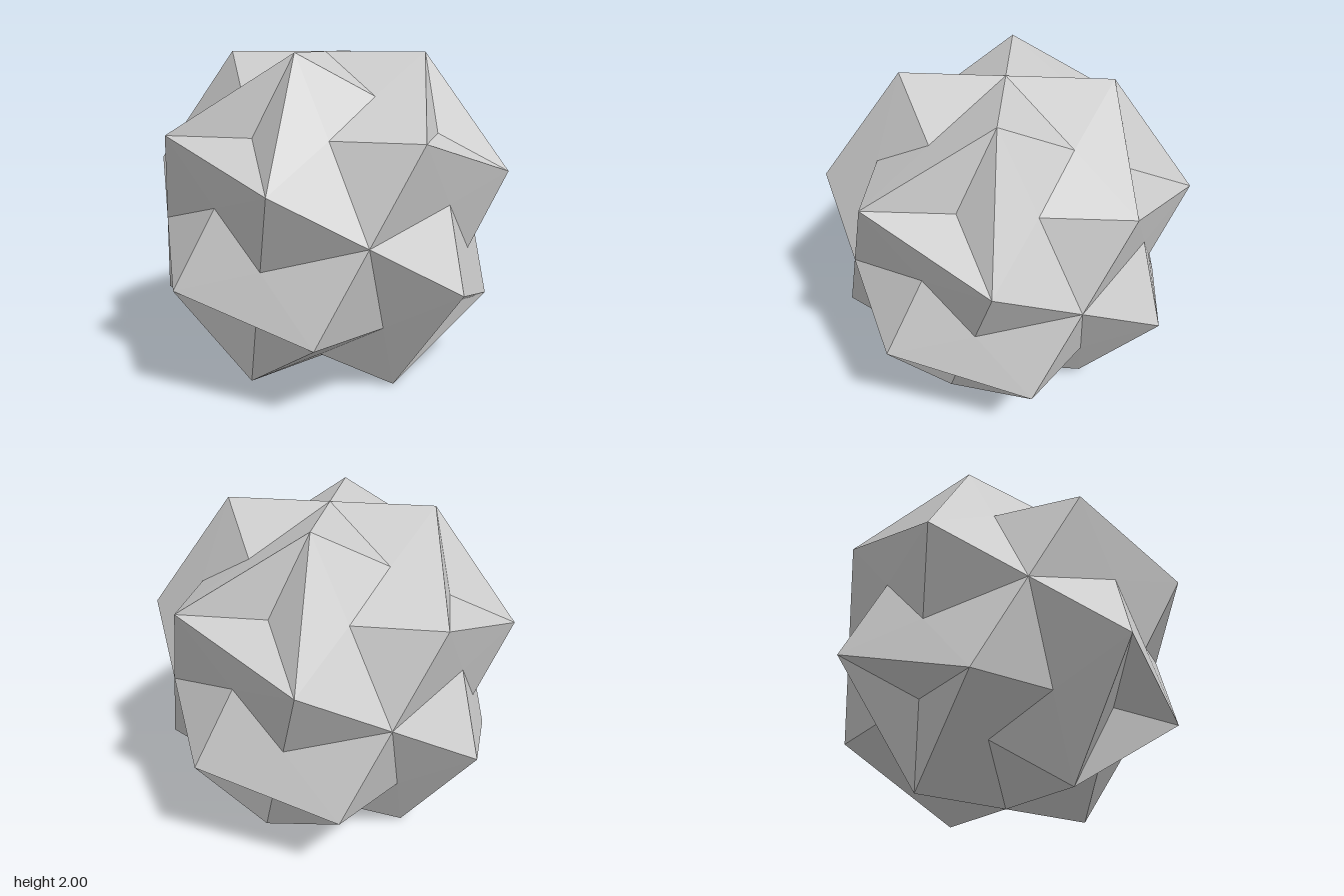
import * as THREE from 'three';

// Corners of one repeating unit, around the +z axis
const tip = [0, 0, 1];              // crossing of two ridges on a main axis
const pA = [0.3, 0.541, 1];         // ridge end
const pB = [-0.541, 0.3, 1];        // next ridge end
const pC = [-0.3, 1, 0.541];        // ridge end on the upper side
const q = [-0.16, 0.541, 0.757];    // notch ends
const r = [0.16, 0.757, 0.541];
const dent = [-0.541, 0.541, 0.541]; // bottom of the three-sided dimple

const parts = {
  largeFacets: [tip, q, pB, q, pC, pB, q, r, pC],
  notchFacets: [tip, pA, q],
  dimpleFacets: [pB, pC, dent],
};

// The 24 rotations of a cube: six directions, four spins each
function cubeRotations() {
  const list = [];
  const h = Math.PI / 2;
  const sides = [[0, 0], [0, h], [0, 2 * h], [0, 3 * h], [h, 0], [-h, 0]];
  for (const [rx, ry] of sides) {
    for (let k = 0; k < 4; k++) {
      const m = new THREE.Matrix4().makeRotationX(rx);
      m.multiply(new THREE.Matrix4().makeRotationY(ry));
      m.multiply(new THREE.Matrix4().makeRotationZ(k * h));
      list.push(m);
    }
  }
  return list;
}

export function createModel() {
  const group = new THREE.Group();
  group.name = 'facetedStar';
  const material = new THREE.MeshStandardMaterial({ color: 0xcccccc, flatShading: true });
  const rotations = cubeRotations();

  // Repeat each kind of facet under all rotations
  for (const [name, corners] of Object.entries(parts)) {
    const points = [];
    for (const m of rotations) {
      for (const c of corners) points.push(new THREE.Vector3(...c).applyMatrix4(m));
    }
    const geometry = new THREE.BufferGeometry().setFromPoints(points);
    geometry.computeVertexNormals();
    const mesh = new THREE.Mesh(geometry, material);
    mesh.name = name;
    mesh.position.y = 1;
    group.add(mesh);
  }
  return group;
}
